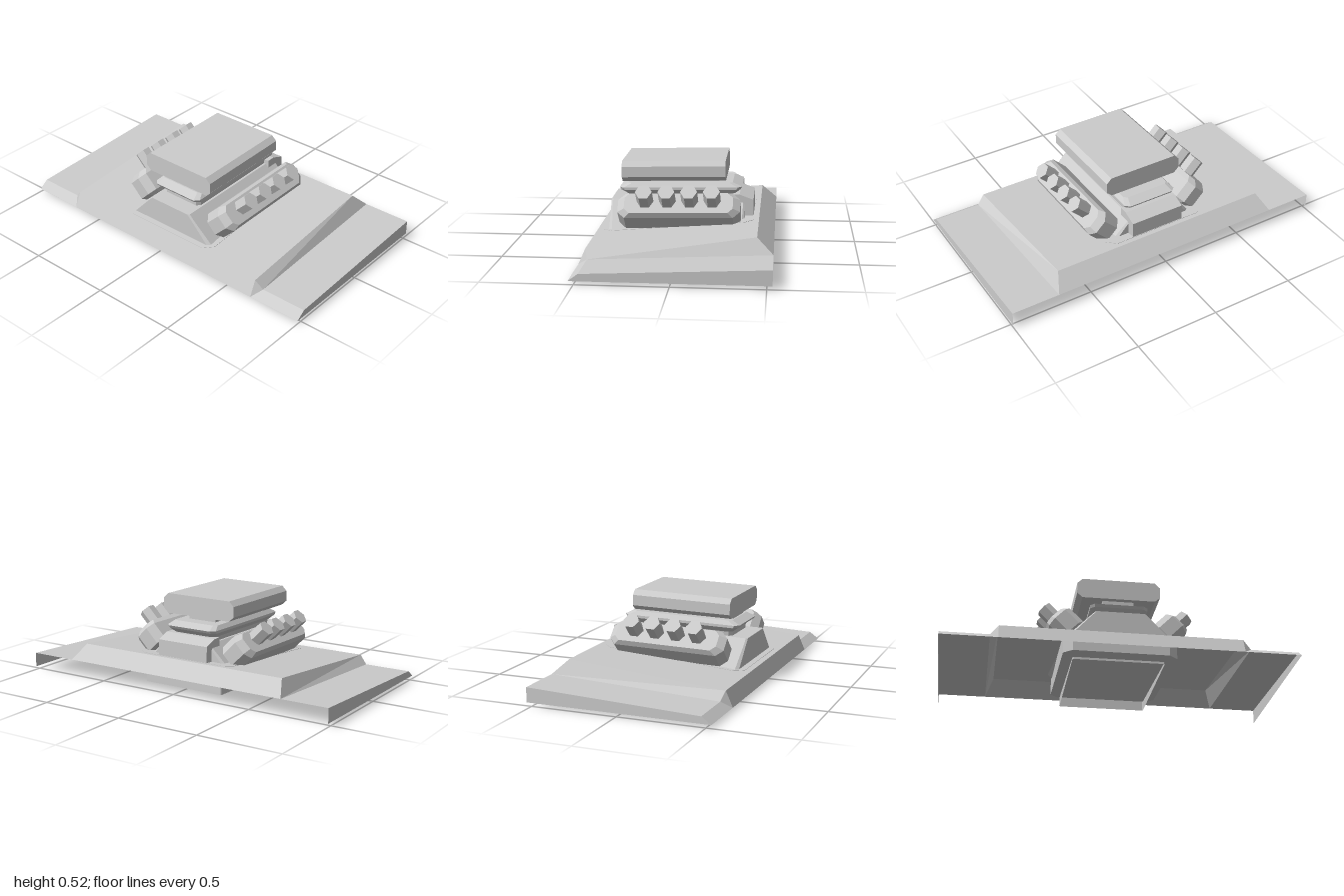
import * as THREE from 'three';

const material = new THREE.MeshStandardMaterial({
  color: 0xcccccc, flatShading: true, side: THREE.DoubleSide,
});

function add(parent, name, geometry) {
  const mesh = new THREE.Mesh(geometry, material);
  mesh.name = name;
  parent.add(mesh);
  return mesh;
}

// Flat-shaded surface from polygons given as lists of [x, y, z] corners
function polygons(faces) {
  const out = [];
  for (const f of faces) {
    for (let i = 1; i < f.length - 1; i++) out.push(...f[0], ...f[i], ...f[i + 1]);
  }
  const g = new THREE.BufferGeometry();
  g.setAttribute('position', new THREE.Float32BufferAttribute(out, 3));
  g.computeVertexNormals();
  return g;
}

// Rectangle with cut corners at height y; slope raises it towards the back
function octagon(y, hx, zf, zb, c, slope = 0) {
  return [
    [hx, zf - c], [hx, zb + c], [hx - c, zb], [c - hx, zb],
    [-hx, zb + c], [-hx, zf - c], [c - hx, zf], [hx - c, zf],
  ].map(([x, z]) => [x, y - z * slope, z]);
}

// Skin over stacked rings, with optional end caps
function loft(rings, capped = true) {
  const faces = [];
  for (let r = 0; r < rings.length - 1; r++) {
    const a = rings[r], b = rings[r + 1];
    a.forEach((p, i) => {
      const j = (i + 1) % a.length;
      faces.push([p, a[j], b[j], b[i]]);
    });
  }
  if (capped) faces.push(rings[rings.length - 1], [...rings[0]].reverse());
  return polygons(faces);
}

function extrude(points, depth) {
  const shape = new THREE.Shape(points.map(([x, y]) => new THREE.Vector2(x, y)));
  return new THREE.ExtrudeGeometry(shape, { depth, bevelEnabled: false });
}

// Open-bottomed hood sheet: low wings either side of a raised centre
function hoodGeometry() {
  const corners = (s) => [
    [s, 0.02, 0.53], [s, 0.06, 0.475], [s, 0.105, -0.53], [s, 0.02, -0.53],
    [s * 0.68, 0.02, 0.53], [s * 0.725, 0.06, 0.475], [s * 0.715, 0.105, -0.53],
    [s * 0.68, 0.11, 0.49], [s * 0.67, 0.19, -0.44],
  ];
  const L = corners(1), R = corners(-1);
  const faces = [];
  // side wall, wing top, wing lip, raised corner, raised flank
  const half = [[0, 3, 2, 1], [1, 2, 6, 5], [0, 1, 5, 4], [4, 5, 7], [5, 6, 8, 7]];
  for (const f of half) {
    faces.push(f.map((i) => L[i]));
    faces.push(f.map((i) => R[i]).reverse());
  }
  // centre lip, centre top, rear slope
  faces.push([L[4], L[7], R[7], R[4]]);
  faces.push([L[7], L[8], R[8], R[7]]);
  faces.push([L[6], R[6], R[8], L[8]]);
  return polygons(faces);
}

export function createModel() {
  const model = new THREE.Group();
  model.name = 'hoodWithEngine';
  add(model, 'hood', hoodGeometry());

  // Slab set into the hood, following its slope
  add(model, 'engineTray', loft([
    octagon(0.042, 0.32, 0.455, -0.41, 0.05, 0.082),
    octagon(0.154, 0.32, 0.455, -0.41, 0.05, 0.086),
  ]));

  // The engine tips slightly nose-down
  const engine = new THREE.Group();
  engine.name = 'engine';
  engine.rotation.x = 0.02;
  model.add(engine);

  // Open lower shell showing beneath the tray
  add(engine, 'lowerShell', loft([
    octagon(0.008, 0.26, 0.345, -0.405, 0.005),
    octagon(0.12, 0.26, 0.345, -0.405, 0.005),
  ], false));

  // Block with sloped shoulders
  add(engine, 'engineBlock', loft([
    octagon(0.115, 0.305, 0.42, -0.36, 0.02),
    octagon(0.245, 0.175, 0.42, -0.36, 0.01),
    octagon(0.275, 0.145, 0.42, -0.36, 0.01),
  ]));

  // Ramp rising from the back of the block to the manifold
  const ramp = add(engine, 'rearRamp', extrude(
    [[0.28, 0.15], [0.41, 0.15], [0.41, 0.272], [0.33, 0.303], [0.28, 0.303]], 0.33));
  ramp.rotation.y = Math.PI / 2;
  ramp.position.x = -0.165;

  // Intake manifold with a bulging waist
  add(engine, 'intakeManifold', loft([
    octagon(0.265, 0.13, 0.32, -0.3, 0.02),
    octagon(0.3, 0.135, 0.32, -0.3, 0.02),
    octagon(0.33, 0.165, 0.36, -0.335, 0.025),
    octagon(0.345, 0.165, 0.37, -0.345, 0.025),
    octagon(0.368, 0.145, 0.32, -0.29, 0.02),
  ]));

  const neck = add(engine, 'scoopNeck', new THREE.BoxGeometry(0.18, 0.05, 0.52));
  neck.position.set(0, 0.38, 0.05);

  // Air scoop: long bar with bevelled edges
  const scoop = add(engine, 'airScoop', extrude([
    [-0.21, 0.395], [0.21, 0.395], [0.24, 0.422], [0.24, 0.483],
    [0.21, 0.512], [-0.21, 0.512], [-0.24, 0.483], [-0.24, 0.422],
  ], 0.597));
  scoop.position.z = -0.255;

  // Valve cover and four exhaust stubs on each bank
  const coverGeometry = loft([
    octagon(-0.08, 0.065, 0.33, -0.31, 0.03),
    octagon(-0.06, 0.08, 0.356, -0.34, 0.04),
    octagon(0.05, 0.08, 0.356, -0.34, 0.04),
    octagon(0.08, 0.066, 0.316, -0.3, 0.03),
  ]);
  const stubGeometry = new THREE.CylinderGeometry(0.048, 0.048, 0.11, 6);
  for (const side of [1, -1]) {
    const bank = new THREE.Group();
    bank.name = side > 0 ? 'leftBank' : 'rightBank';
    bank.position.set(side * 0.3, 0.24, 0);
    bank.rotation.z = -side * Math.PI / 4;
    engine.add(bank);
    add(bank, 'valveCover', coverGeometry);
    for (let i = 0; i < 4; i++) {
      const stub = add(bank, 'exhaustStub', stubGeometry);
      stub.position.set(side * -0.012, 0.123, 0.197 - i * 0.127);
    }
  }
  return model;
}
